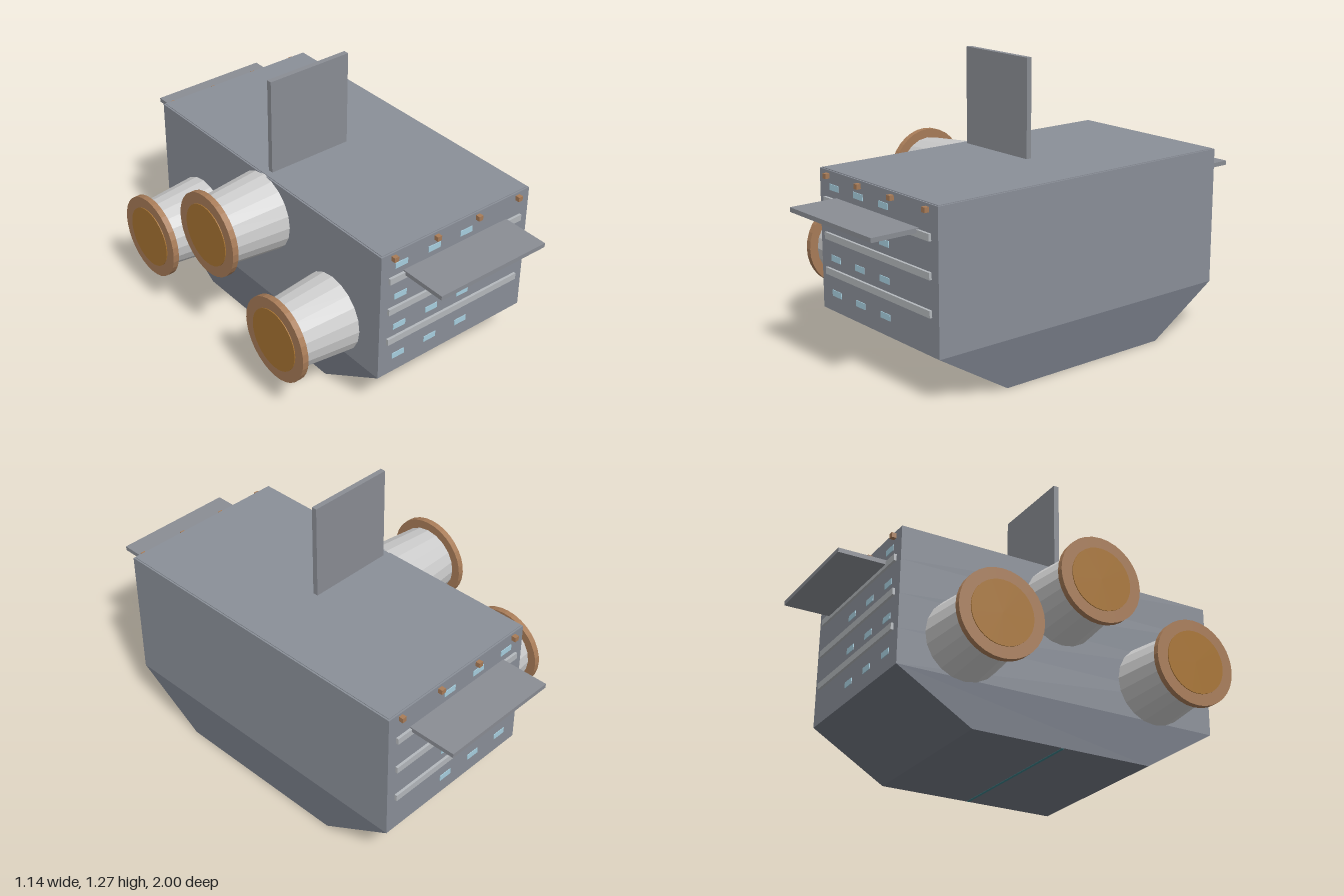
import * as THREE from 'three';

const mat = (color) => new THREE.MeshStandardMaterial({ color, flatShading: true });

export function createModel() {
  const model = new THREE.Group();
  const plate = mat(0x8a8f98), hullGrey = mat(0x727782), fin = mat(0x8a8d94);
  const trim = mat(0xb4b8bc), shell = mat(0xcccccc), glass = mat(0xa8d0e0);
  const copper = mat(0xa87c58), glow = mat(0xa87432), teal = mat(0x3f8088);

  const add = (name, geometry, material, x, y, z, parent = model) => {
    const mesh = new THREE.Mesh(geometry, material);
    mesh.name = name;
    mesh.position.set(x, y, z);
    parent.add(mesh);
    return mesh;
  };
  const box = (name, material, w, h, d, x, y, z, parent) =>
    add(name, new THREE.BoxGeometry(w, h, d), material, x, y, z, parent);

  const midX = 0.152, width = 0.825, deckHeight = 0.155, base = 0.21;

  // Four stacked decks and a thin roof panel
  for (let i = 0; i < 4; i++) {
    box('deck', plate, width, deckHeight, 1.55, midX, base + deckHeight * (i + 0.5), 0);
  }
  box('roofPanel', plate, width - 0.015, 0.004, 1.535, midX, 0.831, 0);

  // Tapered lower hull: a trapezoid in z and y, extruded along x
  const profile = new THREE.Shape([
    new THREE.Vector2(-0.43, 0.002), new THREE.Vector2(0.43, 0.002),
    new THREE.Vector2(0.775, base), new THREE.Vector2(-0.775, base),
  ]);
  const hull = new THREE.ExtrudeGeometry(profile, { depth: width, bevelEnabled: false });
  hull.translate(0, 0, -width / 2);
  hull.rotateY(Math.PI / 2);
  add('lowerHull', hull, hullGrey, midX, 0, 0);
  box('keelStrip', teal, width - 0.01, 0.004, 0.012, midX, 0.002, 0);

  // Upright fin on the roof
  box('roofFin', fin, 0.415, 0.445, 0.025, -0.015, 1.0525, 0);

  // Matching fittings on both end walls
  for (const side of [1, -1]) {
    const wall = new THREE.Group();
    wall.name = side > 0 ? 'frontWall' : 'backWall';
    model.add(wall);
    box('landingShelf', fin, 0.58, 0.02, 0.225, 0.15, 0.71, side * 0.8875, wall);
    for (let row = 0; row < 3; row++) {
      box('ledge', trim, 0.74, 0.03, 0.02, 0.15, 0.387 + row * 0.156, side * 0.777, wall);
    }
    for (let row = 0; row < 4; row++) {
      for (let col = 0; col < 3; col++) {
        box('window', glass, 0.066, 0.027, 0.006,
          -0.153 + col * 0.178, 0.293 + row * 0.156, side * 0.775, wall);
      }
    }
    for (let i = 0; i < 4; i++) {
      box('lamp', copper, 0.022, 0.022, 0.022, -0.197 + i * 0.2313, 0.807, side * 0.785, wall);
    }
  }

  // Three engines on one long side, the middle one set higher
  for (const [y, z] of [[0.38, -0.47], [0.65, 0], [0.38, 0.47]]) {
    const engine = new THREE.Group();
    engine.name = 'engine';
    engine.position.set(0, y, z);
    model.add(engine);
    const ring = (name, material, outer, inner, x0, x1, sides) => {
      const geometry = new THREE.CylinderGeometry(outer, inner, x1 - x0, sides);
      geometry.rotateZ(Math.PI / 2);
      add(name, geometry, material, (x0 + x1) / 2, 0, 0, engine);
    };
    ring('engineCone', shell, 0.155, 0.183, -0.54, -0.255, 20);
    ring('engineRim', copper, 0.195, 0.195, -0.568, -0.54, 32);
    ring('engineGlow', glow, 0.143, 0.143, -0.572, -0.56, 32);
  }

  return model;
}
